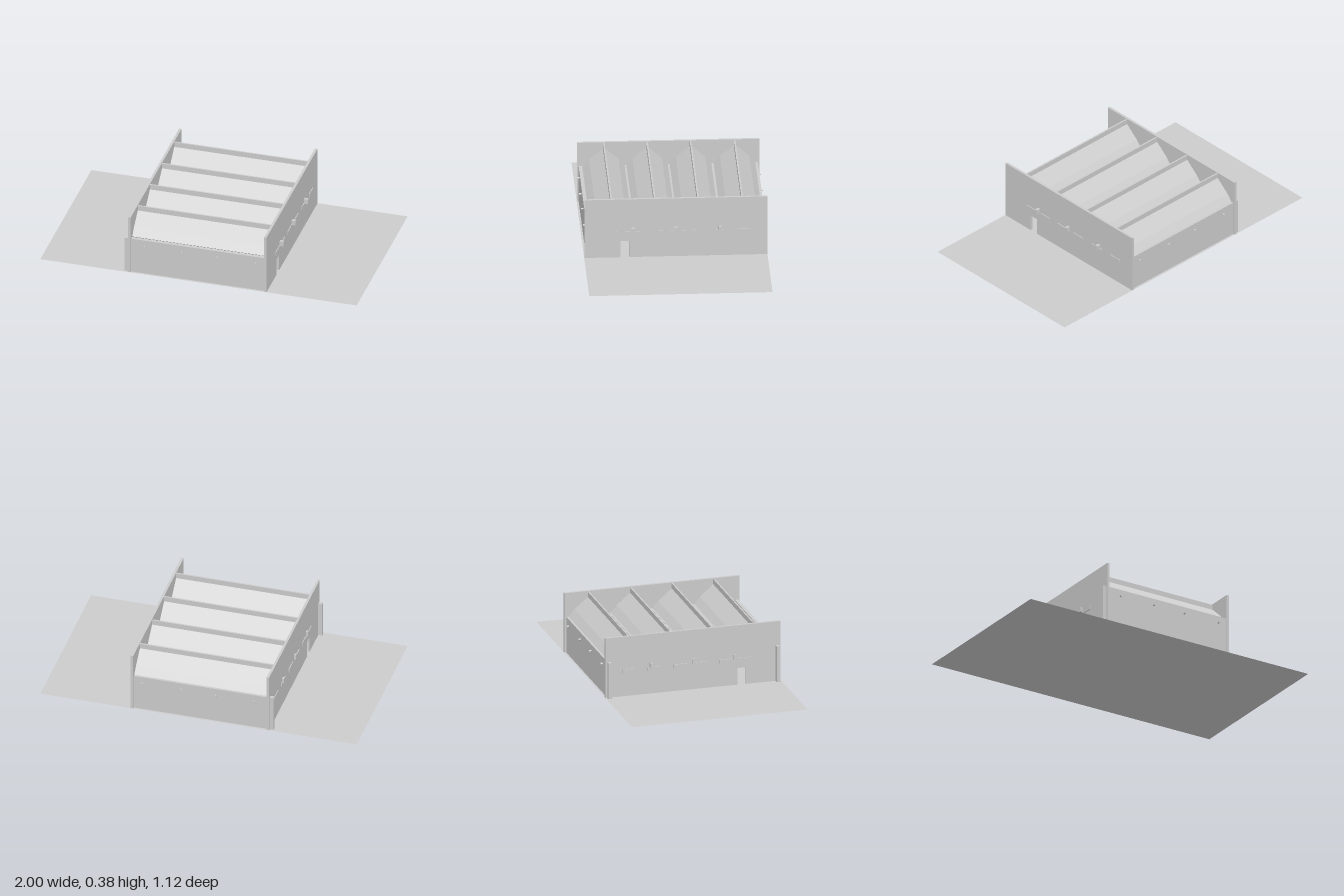
import * as THREE from 'three';

export function createModel() {
  const model = new THREE.Group();
  const mat = new THREE.MeshStandardMaterial({ color: 0xcccccc, flatShading: true });
  const thin = new THREE.MeshStandardMaterial({ color: 0xcccccc, side: THREE.DoubleSide });

  const add = (name, geometry, material = mat) => {
    const mesh = new THREE.Mesh(geometry, material);
    mesh.name = name;
    model.add(mesh);
    return mesh;
  };
  // Box given by its limits on each axis
  const box = (name, x0, x1, y0, y1, z0, z1) =>
    add(name, new THREE.BoxGeometry(x1 - x0, y1 - y0, z1 - z0))
      .position.set((x0 + x1) / 2, (y0 + y1) / 2, (z0 + z1) / 2);
  // Outline in (z, y), extruded along x from x0 to x1
  const extrudeX = (name, points, x0, x1) => {
    const shape = new THREE.Shape(points.map(([z, y]) => new THREE.Vector2(-z, y)));
    const geometry = new THREE.ExtrudeGeometry(shape, { depth: x1 - x0, bevelEnabled: false });
    geometry.rotateY(Math.PI / 2).translate(x0, 0, 0);
    return add(name, geometry);
  };

  // Ground sheet
  add('ground', new THREE.PlaneGeometry(2, 1.115).rotateX(-Math.PI / 2), thin);

  // Side walls, each with a doorway cut up from the ground
  const wall = [[-0.557, 0], [0.28, 0], [0.28, 0.107], [0.335, 0.107], [0.335, 0],
    [0.555, 0], [0.555, 0.383], [-0.557, 0.383]];
  extrudeX('leftWall', wall, 0.414, 0.43);
  extrudeX('rightWall', wall, -0.445, -0.43);

  // End walls pass through the right side wall
  for (const [name, s] of [['frontWall', 1], ['backWall', -1]]) {
    const z = s * 0.534;
    box(name, -0.47, 0.429, 0, 0.23, z - 0.011, z + 0.011);
    for (const x of [-0.345, -0.105, 0.115, 0.36]) {
      const bolt = add('wallBolt', new THREE.CylinderGeometry(0.006, 0.006, 0.022, 12).rotateX(Math.PI / 2));
      bolt.position.set(x, 0.187, s * 0.549);
    }
  }

  // Cross beams poking through the side walls, with a gutter above each
  for (const z of [-0.267, 0, 0.262]) {
    box('crossBeam', -0.457, 0.455, 0.165, 0.197, z - 0.009, z + 0.009);
    box('roofGutter', -0.43, 0.414, 0.197, 0.23, z - 0.009, z + 0.009);
  }

  // Slim blocks along the side walls
  for (const [z0, z1] of [[0.28, 0.365], [0.165, 0.243], [0.013, 0.1],
    [-0.128, -0.04], [-0.29, -0.205], [-0.448, -0.368]]) {
    box('leftWallBlock', 0.42, 0.435, 0.147, 0.172, z0, z1);
    box('rightWallBlock', -0.45, -0.435, 0.147, 0.172, z0, z1);
  }

  // Roof bays: pitched shells with a raised ridge board
  const half = [[0.005, 0.345], [0.09, 0.273], [0.126, 0.23]];
  const under = [[0.116, 0.222], [0.085, 0.258], [0, 0.33]];
  const mirror = (list) => list.map(([z, y]) => [-z, y]).reverse();
  const profile = [...half, ...under, ...mirror(under.slice(0, 2)), ...mirror(half)];
  for (const z of [-0.404, -0.136, 0.128, 0.392]) {
    extrudeX('roofBay', profile, -0.43, 0.414).position.z = z;
    box('ridgeBoard', -0.43, 0.414, 0.335, 0.378, z - 0.005, z + 0.005);
  }
  return model;
}
